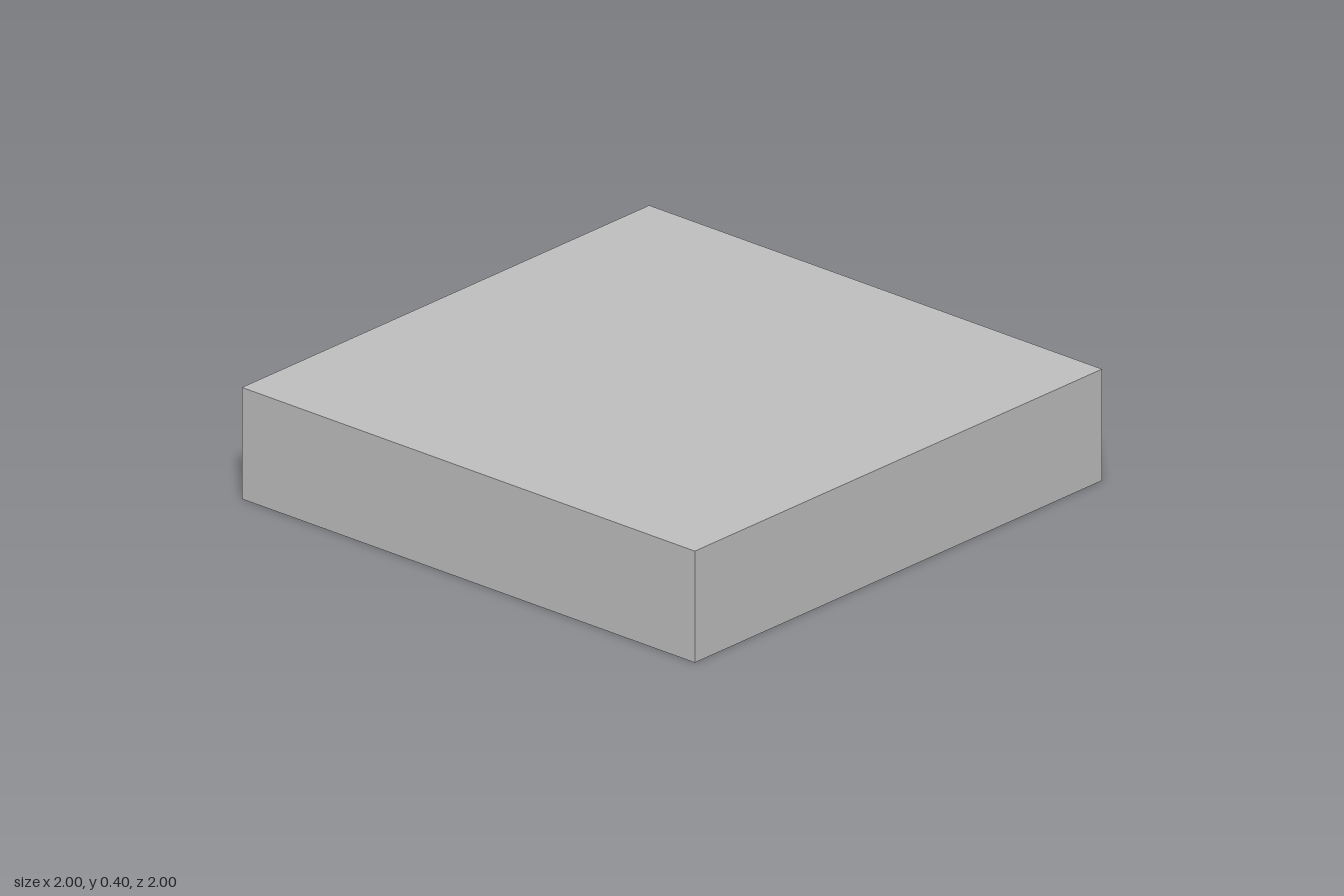
import * as THREE from 'three';

// Box shell standing on y = 0 with its underside left open
function openBottomBox(name, width, height, depth, material) {
  const geometry = new THREE.BoxGeometry(width, height, depth);
  const index = Array.from(geometry.index.array);
  index.splice(18, 6); // drop the -y face
  geometry.setIndex(index);
  geometry.clearGroups();
  geometry.translate(0, height / 2, 0);
  const mesh = new THREE.Mesh(geometry, material);
  mesh.name = name;
  return mesh;
}

export function createModel() {
  const grey = new THREE.MeshStandardMaterial({ color: 0xc0c0c0, side: THREE.DoubleSide });
  grey.name = 'light grey';

  const model = new THREE.Group();
  model.name = 'nestedCover';
  // Large outer cover, and a smaller one nested beneath it
  model.add(openBottomBox('outerCover', 2, 0.4, 2, grey));
  model.add(openBottomBox('innerCover', 1.2, 0.2, 1.2, grey));
  return model;
}
